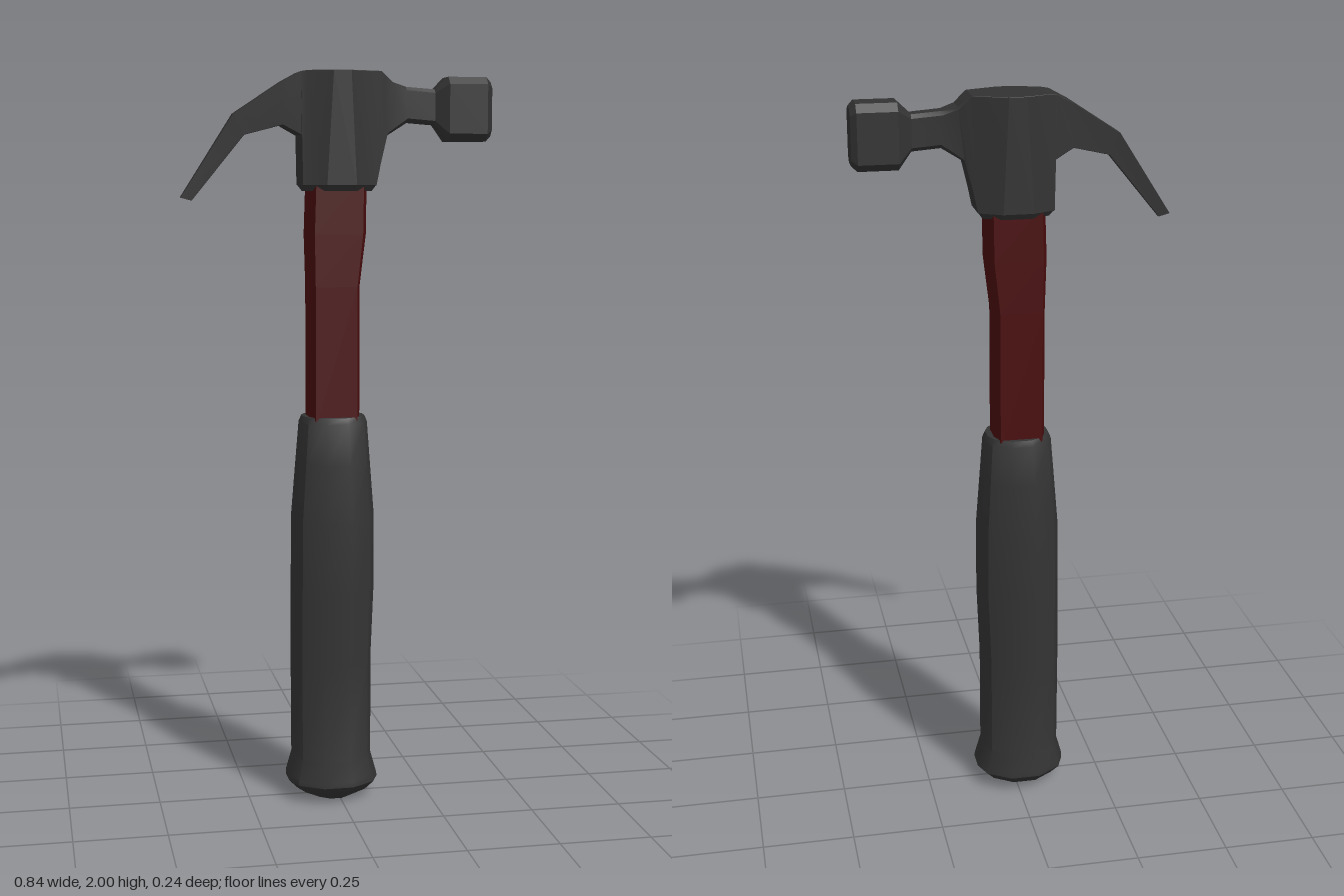
import * as THREE from 'three';
import { toCreasedNormals } from 'three/addons/utils/BufferGeometryUtils.js';

const steel = new THREE.MeshStandardMaterial({ color: 0x323232 });
steel.name = 'dark steel';
const red = new THREE.MeshStandardMaterial({ color: 0x4a0c0d });
red.name = 'dark red';
const rubber = new THREE.MeshStandardMaterial({ color: 0x333333 });
rubber.name = 'black rubber';

// Skin a list of rings (each counterclockwise about the travel axis) and cap both ends
function loft(name, rings, material, crease) {
  const n = rings[0].length;
  const index = [];
  for (let i = 0; i < rings.length - 1; i++) {
    for (let j = 0; j < n; j++) {
      const k = (j + 1) % n;
      const a = i * n + j, b = i * n + k, c = b + n, d = a + n;
      index.push(a, b, c, a, c, d);
    }
  }
  const last = (rings.length - 1) * n;
  for (let j = 1; j < n - 1; j++) {
    index.push(0, j + 1, j);
    index.push(last, last + j, last + j + 1);
  }
  const geometry = new THREE.BufferGeometry();
  geometry.setAttribute('position', new THREE.Float32BufferAttribute(rings.flat(2), 3));
  geometry.setIndex(index);
  const mesh = new THREE.Mesh(toCreasedNormals(geometry, crease), material);
  mesh.name = name;
  return mesh;
}

// Mirror one quadrant of a unit outline into a full horizontal ring
function horizontalRing(quadrant, [y, left, right, depth]) {
  const cx = (left + right) / 2, rx = (right - left) / 2;
  const back = [...quadrant].reverse();
  const full = [
    ...quadrant,
    ...back.map(([x, z]) => [-x, z]),
    ...quadrant.map(([x, z]) => [-x, -z]),
    ...back.map(([x, z]) => [x, -z]),
  ];
  return full.map(([x, z]) => [cx + x * rx, y, -z * depth]);
}

// Chamfered cross-section of the head, slanted from its top point to its bottom point
function headRing([xTop, yTop, xBottom, yBottom, half, chamfer]) {
  const cut = chamfer / Math.hypot(xTop - xBottom, yTop - yBottom);
  const at = (t, z) => [xTop + (xBottom - xTop) * t, yTop + (yBottom - yTop) * t, z];
  const inner = half - chamfer;
  return [
    at(0, -inner), at(0, inner), at(cut, half), at(1 - cut, half),
    at(1, inner), at(1, -inner), at(1 - cut, -half), at(cut, -half),
  ];
}

export function createModel() {
  const hammer = new THREE.Group();
  hammer.name = 'clawHammer';

  // Grip: left and right edges differ, swelling to a flared butt
  const gripOutline = [[1, 0.25], [0.84, 0.66], [0.32, 1]];
  const gripSections = [
    [0, -0.065, 0.04, 0.06],
    [0.025, -0.115, 0.085, 0.1],
    [0.05, -0.14, 0.11, 0.12],
    [0.065, -0.14, 0.107, 0.119],
    [0.12, -0.125, 0.092, 0.106],
    [0.4, -0.126, 0.092, 0.103],
    [0.6, -0.125, 0.1, 0.105],
    [0.8, -0.123, 0.1, 0.105],
    [0.95, -0.111, 0.089, 0.093],
    [1.06, -0.102, 0.081, 0.084],
    [1.077, -0.095, 0.074, 0.078],
  ];
  hammer.add(loft('grip', gripSections.map(s => horizontalRing(gripOutline, s)), rubber, 0.62));

  // Shaft: flattened octagon, wider on one side below the head
  const shaftOutline = [[1, 0.45], [0.82, 1]];
  const shaftSections = [
    [1.05, -0.081, 0.058, 0.065],
    [1.43, -0.081, 0.058, 0.065],
    [1.57, -0.085, 0.075, 0.065],
    [1.72, -0.08, 0.077, 0.065],
  ];
  hammer.add(loft('shaft', shaftSections.map(s => horizontalRing(shaftOutline, s)), red, 0.3));

  const head = new THREE.Group();
  head.name = 'head';
  hammer.add(head);

  // Claw, body, neck and striking face: xTop, yTop, xBottom, yBottom, half thickness, chamfer
  const headSections = [
    [-0.422, 1.668, -0.392, 1.66, 0.01, 0.001],
    [-0.28, 1.888, -0.252, 1.832, 0.02, 0.001],
    [-0.15, 1.973, -0.152, 1.858, 0.041, 0.001],
    [-0.105, 1.997, -0.103, 1.832, 0.052, 0.001],
    [-0.088, 2, -0.1, 1.7, 0.055, 0.001],
    [-0.022, 2, -0.04, 1.7, 0.083, 0.001],
    [0.025, 2, 0.04, 1.7, 0.083, 0.001],
    [0.112, 2, 0.1, 1.7, 0.05, 0.001],
    [0.122, 1.993, 0.112, 1.755, 0.047, 0.003],
    [0.147, 1.972, 0.132, 1.832, 0.039, 0.006],
    [0.185, 1.961, 0.19, 1.867, 0.03, 0.01],
    [0.265, 1.955, 0.265, 1.861, 0.029, 0.01],
    [0.3, 1.988, 0.3, 1.817, 0.052, 0.02],
    [0.405, 1.988, 0.405, 1.817, 0.052, 0.02],
    [0.42, 1.974, 0.42, 1.831, 0.039, 0.016],
  ];
  head.add(loft('clawAndFace', headSections.map(headRing), steel, 0.35));

  // Bevelled rim under the socket
  const rimOutline = [[1, 0.6], [0.4, 1]];
  const rimSections = [[1.685, -0.088, 0.088, 0.07], [1.702, -0.1, 0.1, 0.082]];
  head.add(loft('socketRim', rimSections.map(s => horizontalRing(rimOutline, s)), steel, 0.3));

  return hammer;
}
